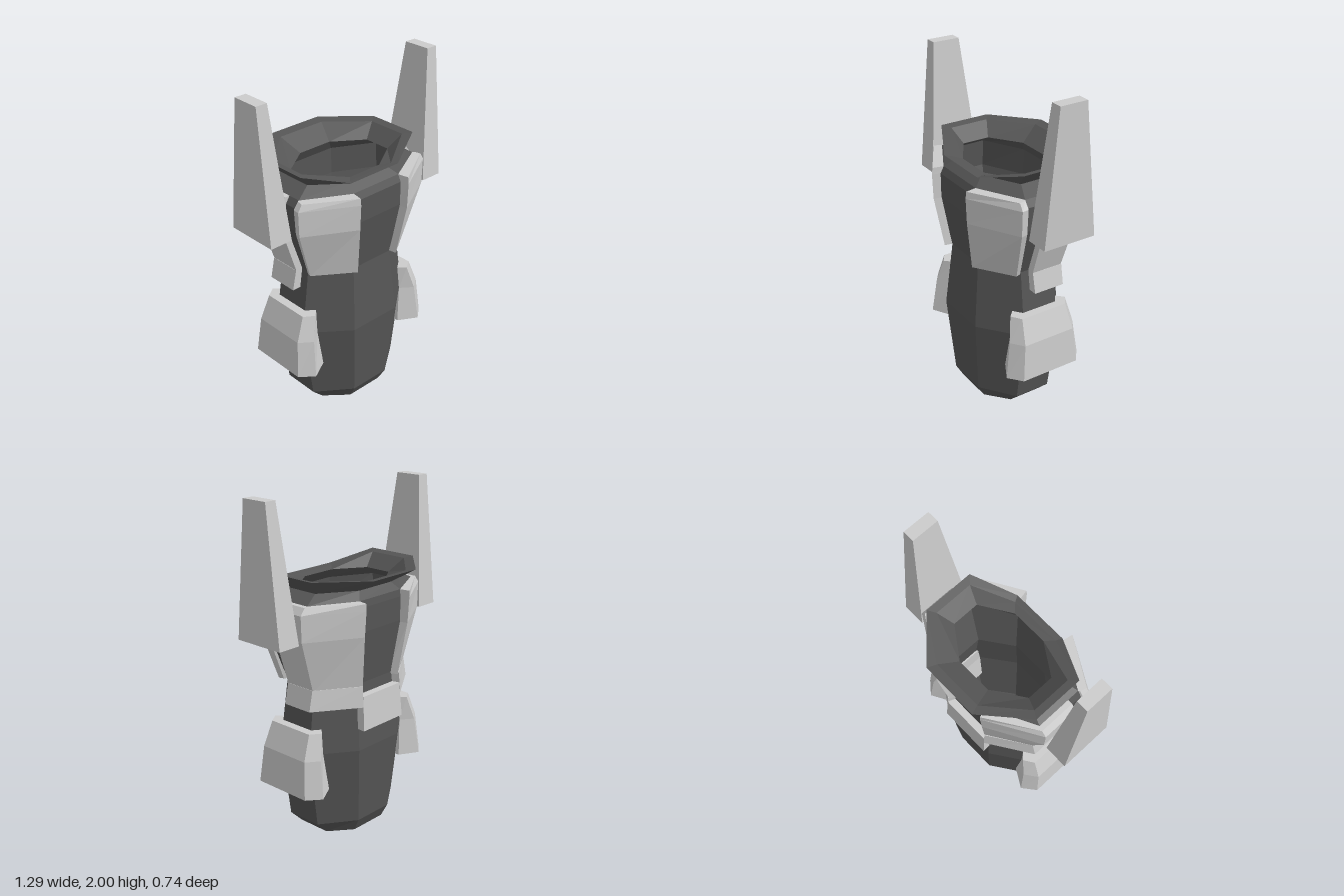
import * as THREE from 'three';

const dark = new THREE.MeshStandardMaterial({ color: 0x555555, flatShading: true });
const grey = new THREE.MeshStandardMaterial({ color: 0xcccccc, flatShading: true });

// Skins a stack of rings of [x, y, z]; rings run front -> +x -> back
function loft(name, rings, material, closed = false) {
  const pos = [];
  const n = rings[0].length;
  const tri = (a, b, c) => pos.push(...a, ...b, ...c);
  const rows = closed ? [...rings, rings[0]] : rings;
  for (let r = 0; r < rows.length - 1; r++) {
    for (let i = 0; i < n; i++) {
      const j = (i + 1) % n;
      tri(rows[r][i], rows[r][j], rows[r + 1][j]);
      tri(rows[r][i], rows[r + 1][j], rows[r + 1][i]);
    }
  }
  if (!closed) {
    const cap = (ring, up) => {
      const flat = ring.map(([x, , z]) => new THREE.Vector2(x, -z));
      for (const [a, b, c] of THREE.ShapeUtils.triangulateShape(flat, [])) {
        if (up) tri(ring[a], ring[b], ring[c]);
        else tri(ring[a], ring[c], ring[b]);
      }
    };
    cap(rings[0], false);
    cap(rings[rings.length - 1], true);
  }
  const geometry = new THREE.BufferGeometry();
  geometry.setAttribute('position', new THREE.Float32BufferAttribute(pos, 3));
  geometry.computeVertexNormals();
  const mesh = new THREE.Mesh(geometry, material);
  mesh.name = name;
  return mesh;
}

// Lopsided octagon: half width, front z, back z, half width of front face, side face z range
function octagon([y, w, front, back, fx, sideFront, sideBack, frontY = y]) {
  return [
    [fx, frontY, front], [w, y, sideFront], [w, y, sideBack], [fx, y, back],
    [-fx, y, back], [-w, y, sideBack], [-w, y, sideFront], [-fx, frontY, front],
  ];
}

// A level ring from [x, z] points
const level = (y, points) => points.map(([x, z]) => [x, y, z]);
const mirrorRing = (ring) => ring.map(([x, y, z]) => [-x, y, z]).reverse();

export function createModel() {
  const model = new THREE.Group();

  // Hollow body: up the outside, over the flared collar, down the inside
  const profile = [
    [0, 0.25, 0.23, -0.19, 0.12, 0.12, -0.085],
    [0.08, 0.33, 0.275, -0.23, 0.13, 0.13, -0.09],
    [0.55, 0.40, 0.31, -0.265, 0.165, 0.13, -0.10],
    [0.94, 0.345, 0.27, -0.235, 0.14, 0.12, -0.09],
    [1.25, 0.45, 0.315, -0.27, 0.18, 0.165, -0.13],
    [1.39, 0.455, 0.315, -0.27, 0.18, 0.165, -0.13],
    [1.43, 0.43, 0.295, -0.265, 0.17, 0.155, -0.13],
    [1.475, 0.34, 0.235, -0.23, 0.13, 0.12, -0.10],
    [1.56, 0.42, 0.285, -0.37, 0.175, 0.16, -0.15, 1.49],
    [1.55, 0.375, 0.25, -0.315, 0.155, 0.12, -0.12, 1.485],
    [1.475, 0.29, 0.205, -0.20, 0.11, 0.09, -0.075],
    [1.41, 0.40, 0.265, -0.235, 0.155, 0.14, -0.11],
    [1.25, 0.41, 0.28, -0.235, 0.16, 0.14, -0.11],
    [0.94, 0.305, 0.235, -0.20, 0.12, 0.10, -0.07],
    [0.55, 0.36, 0.275, -0.23, 0.145, 0.11, -0.08],
    [0.09, 0.29, 0.24, -0.195, 0.11, 0.10, -0.07],
    [0, 0.22, 0.195, -0.16, 0.09, 0.06, -0.055],
  ];
  model.add(loft('body', profile.map(octagon), dark, true));

  // Armour that repeats on both sides
  const parts = {
    ChestPlate: [
      level(0.94, [[0.15, 0.315], [0.37, 0.165], [0.36, 0.135], [0.32, 0.11], [0.14, 0.25]]),
      level(1.24, [[0.18, 0.36], [0.47, 0.20], [0.46, 0.16], [0.42, 0.14], [0.165, 0.29]]),
      level(1.39, [[0.18, 0.365], [0.475, 0.20], [0.47, 0.16], [0.42, 0.14], [0.165, 0.29]]),
      level(1.43, [[0.18, 0.36], [0.45, 0.20], [0.44, 0.16], [0.40, 0.14], [0.165, 0.28]]),
    ],
    BackPlate: [
      level(0.93, [[0.385, 0.07], [0.385, -0.12], [0.15, -0.275], [0.13, -0.22], [0.32, -0.09], [0.32, 0.07]]),
      level(1.24, [[0.485, 0.07], [0.485, -0.14], [0.18, -0.315], [0.165, -0.25], [0.43, -0.11], [0.43, 0.07]]),
      level(1.39, [[0.49, 0.08], [0.49, -0.14], [0.18, -0.325], [0.165, -0.25], [0.43, -0.11], [0.43, 0.08]]),
      level(1.43, [[0.46, 0.08], [0.46, -0.14], [0.18, -0.325], [0.165, -0.25], [0.41, -0.11], [0.41, 0.08]]),
    ],
    SideBelt: [
      level(0.82, [[0.415, 0.07], [0.415, -0.12], [0.16, -0.29], [0.14, -0.22], [0.34, -0.08], [0.34, 0.07]]),
      level(0.94, [[0.39, 0.07], [0.39, -0.12], [0.155, -0.28], [0.13, -0.21], [0.32, -0.08], [0.32, 0.07]]),
    ],
    HipPlate: [
      level(0.33, [[0.31, 0.20], [0.425, 0.265], [0.505, 0.20], [0.505, -0.165], [0.425, -0.23], [0.31, -0.165]]),
      level(0.55, [[0.335, 0.18], [0.41, 0.235], [0.485, 0.18], [0.485, -0.145], [0.41, -0.20], [0.335, -0.145]]),
      level(0.695, [[0.33, 0.165], [0.37, 0.205], [0.43, 0.165], [0.43, -0.13], [0.37, -0.17], [0.33, -0.13]]),
    ],
    // Tall tapering fin floating beside the shoulder
    Fin: [
      level(1.23, [[0.505, 0.18], [0.645, 0.18], [0.645, -0.14], [0.505, -0.14]]),
      level(2.0, [[0.575, 0.105], [0.645, 0.105], [0.645, -0.06], [0.575, -0.06]]),
    ],
  };
  for (const [name, rings] of Object.entries(parts)) {
    model.add(loft('left' + name, rings, grey));
    model.add(loft('right' + name, rings.map(mirrorRing), grey));
  }

  // Lower back guard joining the two side belts
  model.add(loft('backGuard', [
    level(0.68, [[-0.16, -0.22], [0.16, -0.22], [0.165, -0.30], [-0.165, -0.30]]),
    level(0.88, [[-0.145, -0.20], [0.145, -0.20], [0.155, -0.285], [-0.155, -0.285]]),
  ], grey));

  return model;
}
